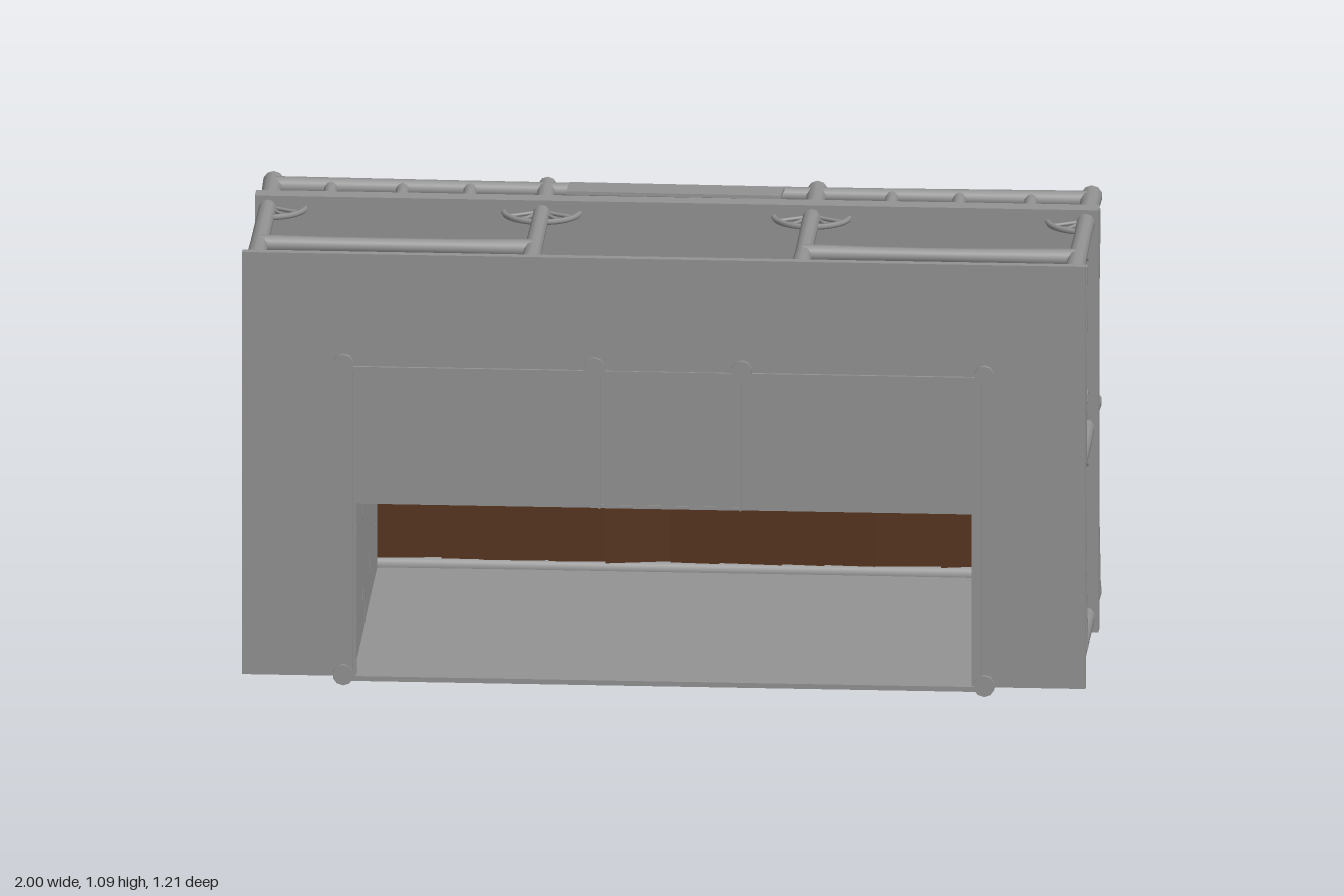
import * as THREE from 'three';

const stone = new THREE.MeshStandardMaterial({ color: 0x939393, side: THREE.DoubleSide });
stone.name = 'weathered grey';
const plankBrown = new THREE.MeshStandardMaterial({ color: 0x58351f, side: THREE.DoubleSide });
plankBrown.name = 'plank brown';

let seed = 7;
const rand = () => (seed = (seed * 16807) % 2147483647) / 2147483647;

function add(parent, name, geometry, material = stone) {
  const mesh = new THREE.Mesh(geometry, material);
  mesh.name = name;
  parent.add(mesh);
  return mesh;
}

// box given by its minimum and maximum corners
function slab(parent, name, a, b, material) {
  const geo = new THREE.BoxGeometry(b[0] - a[0], b[1] - a[1], b[2] - a[2]);
  geo.translate((a[0] + b[0]) / 2, (a[1] + b[1]) / 2, (a[2] + b[2]) / 2);
  return add(parent, name, geo, material);
}

// hewn log between two points, with a slightly uneven thickness
function log(parent, name, a, b, r = 0.022) {
  const from = new THREE.Vector3(...a), to = new THREE.Vector3(...b);
  const length = from.distanceTo(to), rings = 4;
  const geo = new THREE.CylinderGeometry(r, r, length, 10, rings);
  const swell = Array.from({ length: rings + 1 }, (_, i) =>
    (i === 0 || i === rings ? 1.04 : 0.9) + (rand() - 0.5) * 0.1);
  const p = geo.attributes.position;
  for (let i = 0; i < p.count; i++) {
    const k = swell[Math.round((p.getY(i) / length + 0.5) * rings)];
    p.setX(i, p.getX(i) * k);
    p.setZ(i, p.getZ(i) * k);
  }
  const mesh = add(parent, name, geo);
  mesh.position.copy(from).add(to).multiplyScalar(0.5);
  mesh.quaternion.setFromUnitVectors(new THREE.Vector3(0, 1, 0), to.sub(from).normalize());
  return mesh;
}

// four-log window frame; at(u, z) places a point on its wall
function windowFrame(parent, name, at, u, z0, z1) {
  const g = new THREE.Group();
  g.name = name;
  for (const s of [-1, 1]) log(g, 'frameSide', at(u + s * 0.083, z0), at(u + s * 0.083, z1), 0.023);
  for (const z of [z0, z1]) log(g, 'frameBar', at(u - 0.122, z), at(u + 0.122, z), 0.025);
  parent.add(g);
}

// part of a spoked wheel hanging from the balcony, in the xz plane
function wheel(start, arc) {
  const g = new THREE.Group();
  g.name = 'wheelBracket';
  const rim = add(g, 'wheelRim', new THREE.TorusGeometry(0.09, 0.007, 6, 24, arc));
  rim.rotation.set(Math.PI / 2, 0, start);
  add(g, 'wheelHub', new THREE.CylinderGeometry(0.022, 0.022, 0.02, 10));
  const spokes = Math.round(arc / (Math.PI / 6));
  for (let i = 0; i <= spokes; i++) {
    const t = start + (arc * i) / spokes;
    log(g, 'wheelSpoke', [0, 0, 0], [0.09 * Math.cos(t), 0, 0.09 * Math.sin(t)], 0.005);
  }
  return g;
}

function createModel() {
  const model = new THREE.Group();
  model.name = 'timberSaloon';

  // false front with arched crest and doorway
  const face = new THREE.Shape();
  face.moveTo(-0.76, -0.595);
  face.lineTo(0.76, -0.595);
  face.lineTo(0.76, 0.45);
  face.lineTo(0.41, 0.45);
  face.bezierCurveTo(0.22, 0.64, -0.22, 0.64, -0.41, 0.45);
  face.lineTo(-0.76, 0.45);
  const door = new THREE.Path();
  door.moveTo(-0.15, -0.59);
  door.lineTo(-0.15, -0.24);
  door.lineTo(0.18, -0.24);
  door.lineTo(0.18, -0.59);
  face.holes.push(door);
  const faceGeo = new THREE.ExtrudeGeometry(face, { depth: 0.012, bevelEnabled: false, curveSegments: 20 });
  faceGeo.rotateX(-Math.PI / 2);
  add(model, 'falseFront', faceGeo).position.y = 0.792;

  // log along the crest
  const crest = new THREE.CurvePath();
  const V = (x, z) => new THREE.Vector3(x, 0.815, z);
  crest.add(new THREE.LineCurve3(V(-0.785, -0.45), V(-0.41, -0.45)));
  crest.add(new THREE.CubicBezierCurve3(V(-0.41, -0.45), V(-0.2, -0.635), V(0.2, -0.635), V(0.41, -0.45)));
  crest.add(new THREE.LineCurve3(V(0.41, -0.45), V(0.785, -0.45)));
  add(model, 'crestLog', new THREE.TubeGeometry(crest, 48, 0.021, 10));
  for (const s of [-1, 1]) {
    log(model, 'crestLogEnd', [s * 0.74, 0.817, -0.447], [s * 0.787, 0.817, -0.447], 0.025);
    log(model, 'crestBrace', [s * 0.18, 0.68, -0.36], [s * 0.18, 0.8, -0.52], 0.011);
  }

  // side and rear walls, door recess
  for (const s of [-1, 1]) {
    const x = s * 0.745;
    slab(model, 'sideWall', [x - 0.008, 0.03, -0.345], [x + 0.008, 0.8, 0.595]);
  }
  slab(model, 'rearWall', [-0.745, 0.03, -0.345], [0.745, 0.042, 0.595]);
  slab(model, 'doorPanel', [-0.15, 0.465, 0.24], [0.18, 0.473, 0.59]);
  slab(model, 'doorCeiling', [-0.15, 0.465, 0.235], [0.18, 0.8, 0.242]);
  for (const x of [-0.154, 0.18]) slab(model, 'doorReveal', [x, 0.465, 0.24], [x + 0.004, 0.8, 0.597]);

  // roof of uneven planks, held by cross logs
  let x = -0.74;
  while (x < 0.735) {
    const w = Math.min(0.09 + rand() * 0.07, 0.74 - x);
    const plank = slab(model, 'roofPlank', [-w / 2, 0.04, -0.005], [w / 2, 0.8, 0.005], plankBrown);
    plank.position.set(x + w / 2, 0, -0.348);
    plank.rotation.y = (rand() - 0.5) * 0.12;
    x += w;
  }
  for (const y of [0.043, 0.305, 0.59]) log(model, 'roofLog', [-0.75, y, -0.355], [0.75, y, -0.355], 0.026);

  // corner and storey logs
  for (const s of [-1, 1]) {
    const X = s * 0.76;
    log(model, 'rearCornerLog', [X, 0.045, -0.35], [X, 0.045, 0.6], 0.024);
    log(model, 'frontCornerLog', [X, 0.81, -0.45], [X, 0.81, 0.6], 0.023);
    log(model, 'eaveLog', [X, 0.002, -0.357], [X, 0.8, -0.357], 0.024);
    log(model, 'storeyLog', [X, 0.002, 0.137], [X, 0.85, 0.137], 0.025);
  }
  log(model, 'storeyLogFront', [-0.76, 0.81, 0.137], [0.76, 0.81, 0.137], 0.024);

  // windows
  const onFront = (u, z) => [u, 0.81, z];
  for (const u of [-0.5, 0, 0.5]) windowFrame(model, 'upperWindow', onFront, u, -0.26, -0.05);
  for (const u of [-0.5, 0.5]) windowFrame(model, 'lowerWindow', onFront, u, 0.23, 0.425);
  for (const s of [-1, 1]) {
    const onSide = (u, z) => [s * 0.76, u, z];
    for (const u of [0.25, 0.615]) {
      windowFrame(model, 'upperSideWindow', onSide, u, -0.255, -0.045);
      windowFrame(model, 'lowerSideWindow', onSide, u, 0.237, 0.44);
    }
  }

  // door frame
  for (const X of [-0.165, 0.185]) log(model, 'doorPost', [X, 0.81, 0.24], [X, 0.81, 0.598], 0.025);
  const lintel = log(model, 'doorLintel', [-0.19, 0.83, 0.225], [0.21, 0.83, 0.225], 0.026);
  lintel.scale.y = 1;
  slab(model, 'lintelCap', [-0.18, 0.848, 0.205], [0.2, 0.873, 0.255]);

  // porch floor, cut away beneath the building
  const floor = new THREE.Shape();
  [[-1, 0.04], [-0.73, 0.04], [-0.73, 0.465], [0.73, 0.465], [0.73, 0.04], [1, 0.04], [1, 1.08], [-1, 1.08]]
    .forEach(([a, b], i) => (i ? floor.lineTo(a, b) : floor.moveTo(a, b)));
  add(model, 'porchFloor', new THREE.ExtrudeGeometry(floor, { depth: 0.022, bevelEnabled: false }))
    .position.z = 0.566;

  // balcony floor around the building
  slab(model, 'balconyFront', [-1, 0.81, 0.06], [1, 1.08, 0.108]);
  for (const s of [-1, 1]) {
    const e = [s * 0.75, s].sort((a, b) => a - b);
    slab(model, 'balconySide', [e[0], 0.04, 0.06], [e[1], 0.81, 0.108]);
  }

  // posts, rails, balusters and wheel brackets
  const top = 1.05, out = 0.97;
  for (const s of [-1, 1]) {
    for (const y of [0.08, 0.545, top]) log(model, 'sidePost', [s * out, y, -0.12], [s * out, y, 0.588], 0.024);
    log(model, 'frontPost', [s * 0.32, top, -0.12], [s * 0.32, top, 0.588], 0.023);
    log(model, 'porchRail', [s * 0.32, top, 0.415], [s * out, top, 0.415], 0.022);
    for (const z of [0.41, -0.072]) log(model, 'sideRail', [s * out, 0.09, z], [s * out, 1.03, z], 0.024);
    for (const X of [0.5, 0.66, 0.83]) log(model, 'baluster', [s * X, top, -0.07], [s * X, top, 0.07], 0.017);
    for (const y of [0.22, 0.39, 0.68, 0.865])
      log(model, 'sideBaluster', [s * out, y, -0.07], [s * out, y, 0.07], 0.019);

    // front wheels
    const half = wheel(0, Math.PI);
    half.position.set(s * 0.32, top, 0.098);
    const quarter = wheel(s > 0 ? Math.PI / 2 : 0, Math.PI / 2);
    quarter.position.set(s * out, top, 0.098);
    // side wheels, turned into the side plane
    const sideHalf = wheel(0, Math.PI);
    sideHalf.position.set(s * out, 0.545, 0.098);
    const sideQuarter = wheel(Math.PI / 2, Math.PI / 2);
    sideQuarter.position.set(s * out, top, 0.098);
    for (const w of [sideHalf, sideQuarter]) w.rotation.z = Math.PI / 2;
    model.add(half, quarter, sideHalf, sideQuarter);
  }
  log(model, 'balconyRail', [-out, top, -0.08], [out, top, -0.08], 0.022);

  // blank tilted signboard
  const sign = add(model, 'signboard', new THREE.BoxGeometry(0.51, 0.008, 0.11));
  sign.position.set(-0.01, 1.079, 0);
  sign.rotation.set(-0.08, -0.02, 0);

  return model;
}

export { createModel };
